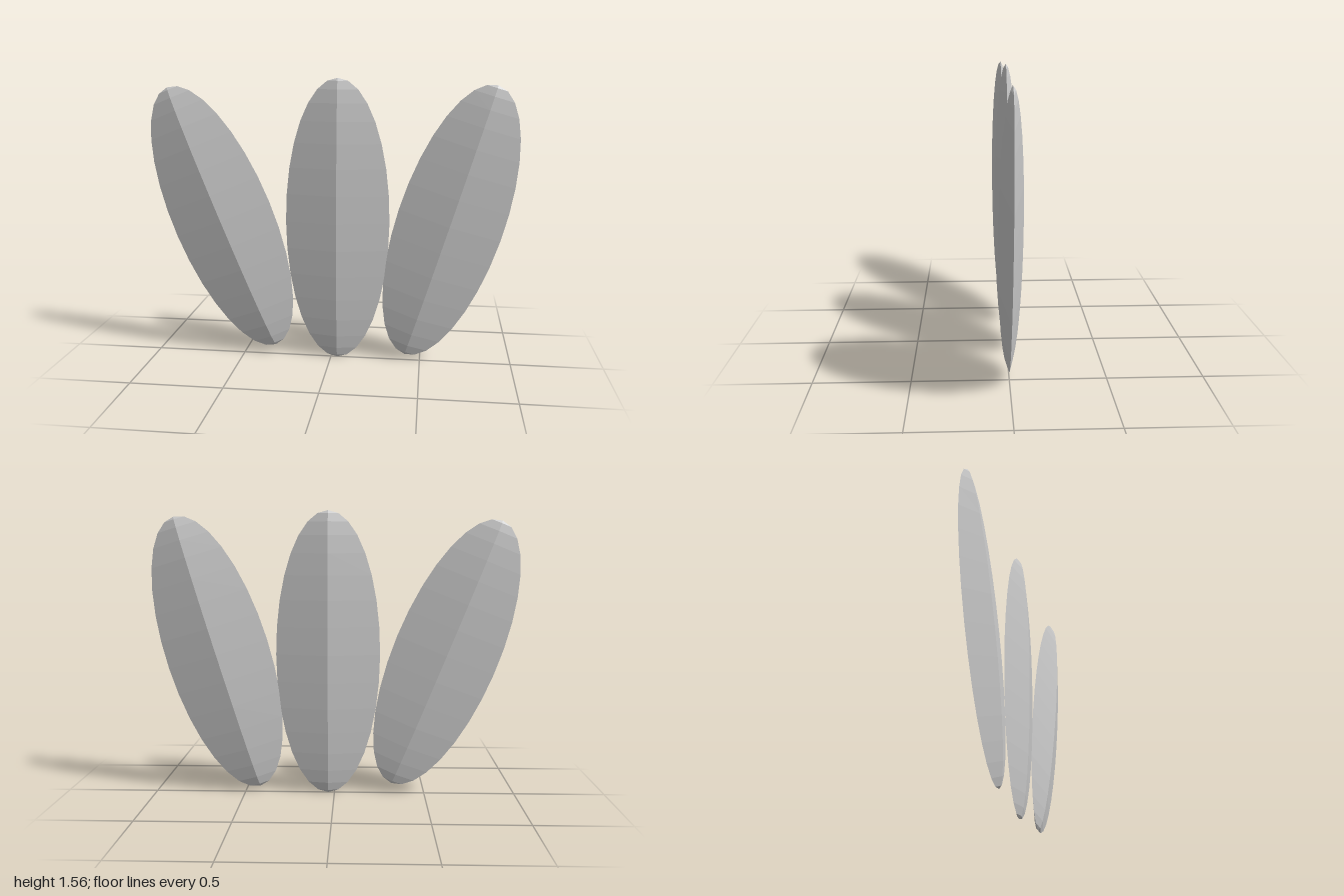
import * as THREE from 'three';

export function createModel() {
  const group = new THREE.Group();
  const material = new THREE.MeshStandardMaterial({ color: 0xcccccc, flatShading: true });

  // Four-sided sphere: a diamond cross-section with an elliptical outline
  const geometry = new THREE.SphereGeometry(1, 4, 16);
  geometry.scale(0.285, 0.78, 0.06);

  // Three petals fanned out in one plane: name, centre x, lean
  const petals = [
    ['rightPetal', -0.607, 0.38],
    ['middlePetal', 0.035, 0],
    ['leftPetal', 0.642, -0.295],
  ];
  for (const [name, x, lean] of petals) {
    const petal = new THREE.Mesh(geometry, material);
    petal.name = name;
    petal.position.set(x, 0.785, 0);
    petal.rotation.z = lean;
    group.add(petal);
  }
  return group;
}
